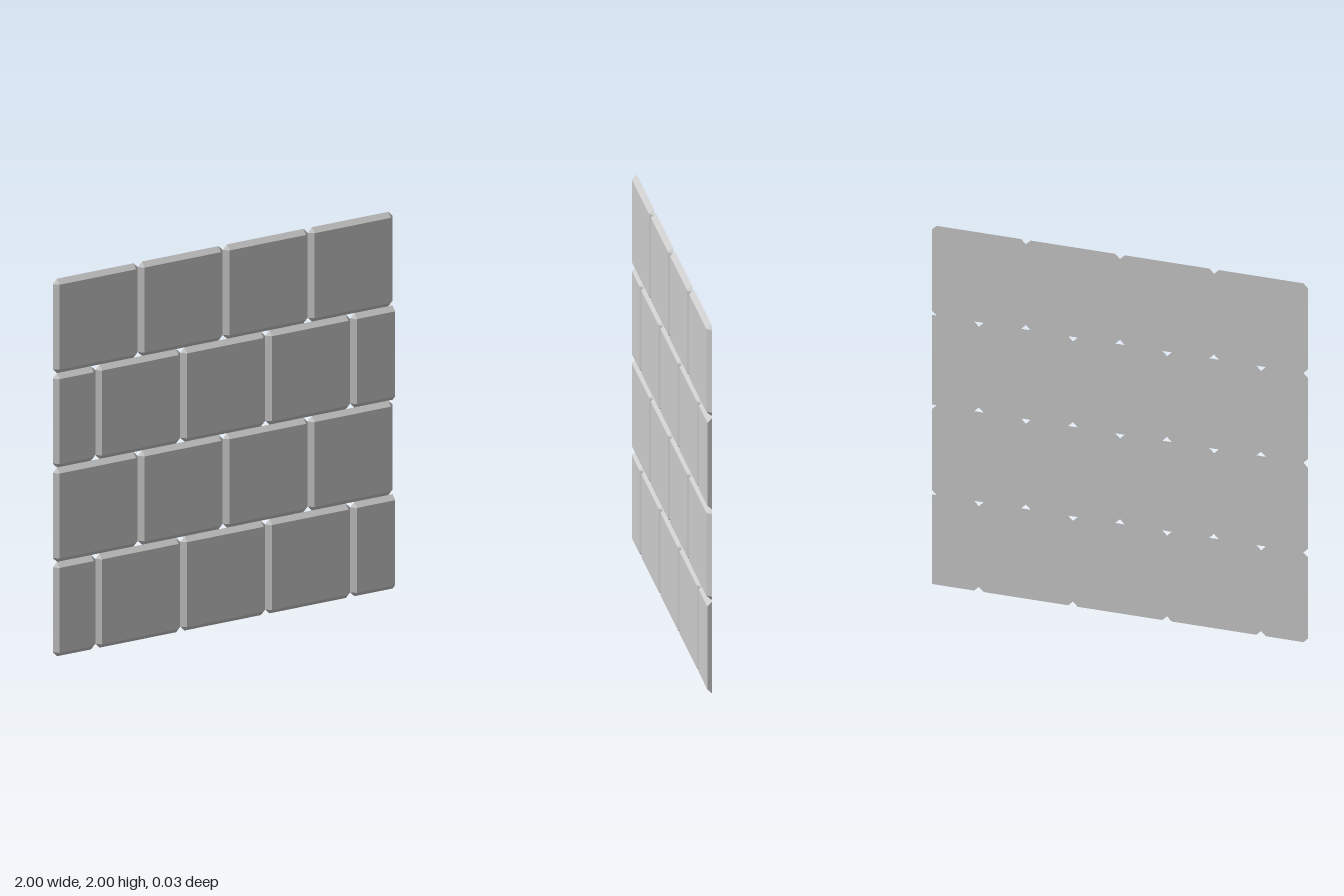
import * as THREE from 'three';
import { ConvexGeometry } from 'three/addons/geometries/ConvexGeometry.js';

const BEVEL = 0.025;
const HALF_DEPTH = 0.0125;
const TILE = 0.5;

// One tile: inset rectangular face in front, corner-cut outline at the back.
// cutEnd leaves the +x end as a flat, square cut.
function tileGeometry(x0, x1, y0, y1, cutEnd) {
  const points = [];
  const add = (x, y, z) => points.push(new THREE.Vector3(x, y, z));
  for (const [x, inward] of [[x0, BEVEL], [x1, cutEnd ? 0 : -BEVEL]]) {
    for (const [y, up] of [[y0, BEVEL], [y1, -BEVEL]]) {
      add(x + inward, y + up, HALF_DEPTH);
      add(x + inward, y, -HALF_DEPTH);
      if (inward !== 0) add(x, y + up, -HALF_DEPTH);
    }
  }
  return new ConvexGeometry(points);
}

export function createModel() {
  const wall = new THREE.Group();
  wall.name = 'tileWall';
  const material = new THREE.MeshStandardMaterial({ color: 0xcccccc, flatShading: true });

  // Four courses in running bond; the first and third are shifted by half a tile
  for (let row = 0; row < 4; row++) {
    const course = new THREE.Group();
    course.name = `course${row + 1}`;
    const shifted = row % 2 === 0;
    const start = shifted ? -1 - TILE / 2 : -1;
    const count = shifted ? 5 : 4;
    for (let i = 0; i < count; i++) {
      const x0 = Math.max(-1, start + i * TILE);
      const x1 = Math.min(1, start + (i + 1) * TILE);
      const cutEnd = shifted && i === count - 1;
      const tile = new THREE.Mesh(
        tileGeometry(x0, x1, row * TILE, (row + 1) * TILE, cutEnd), material);
      tile.name = x1 - x0 < TILE ? 'halfTile' : 'tile';
      course.add(tile);
    }
    wall.add(course);
  }
  return wall;
}
